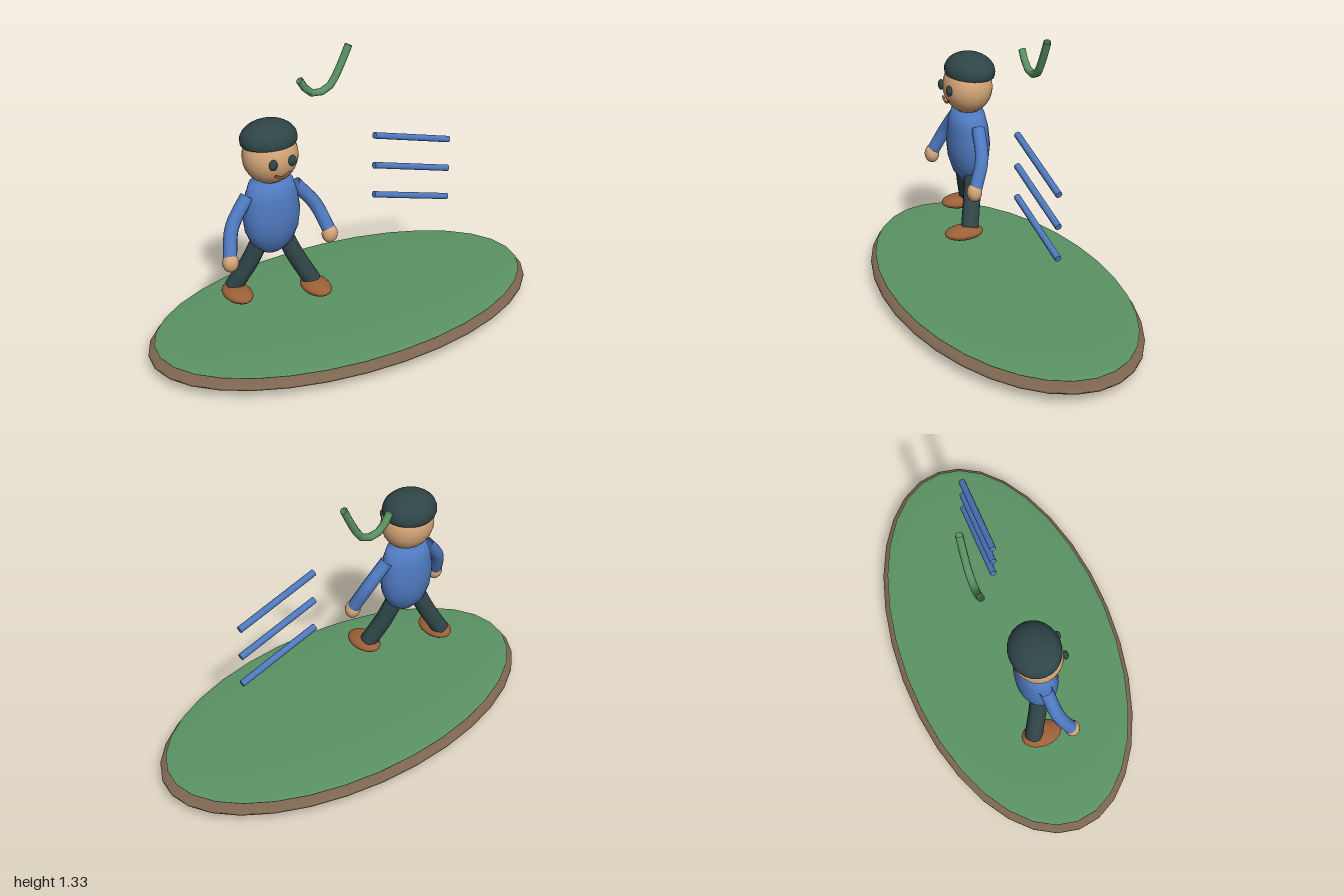
import * as THREE from 'three';

const mat = (color) => new THREE.MeshStandardMaterial({ color, side: THREE.DoubleSide });
const grass = mat(0x5b9464), soil = mat(0x7d6650), skin = mat(0xd6a679);
const blue = mat(0x4f7ac0), dark = mat(0x2f4548), leather = mat(0x9c6038);

const V = (p) => new THREE.Vector3(...p);

function add(parent, name, geometry, material, pos = [0, 0, 0]) {
  const mesh = new THREE.Mesh(geometry, material);
  mesh.name = name;
  mesh.position.set(...pos);
  parent.add(mesh);
  return mesh;
}

function ellipsoid(parent, name, material, pos, radii, segs = 24) {
  const g = new THREE.SphereGeometry(1, segs, Math.round(segs * 0.6)).scale(...radii);
  return add(parent, name, g, material, pos);
}

// Round limb along a smooth path
function tube(parent, name, material, points, radius, segs = 10, sides = 12) {
  const curve = new THREE.CatmullRomCurve3(points.map(V));
  return add(parent, name, new THREE.TubeGeometry(curve, segs, radius, sides), material);
}

// Straight rod between two points
function rod(parent, name, material, a, b, radius) {
  const from = V(a), to = V(b), dir = to.clone().sub(from);
  const mesh = add(parent, name, new THREE.CylinderGeometry(radius, radius, dir.length(), 8), material);
  mesh.position.copy(from).add(to).multiplyScalar(0.5);
  mesh.quaternion.setFromUnitVectors(new THREE.Vector3(0, 1, 0), dir.normalize());
  return mesh;
}

function createFigure() {
  const figure = new THREE.Group();
  figure.name = 'figure';
  figure.position.x = -0.38;

  // Torso: egg profile, flattened front to back
  const profile = [[0, 0.485], [0.045, 0.495], [0.1, 0.54], [0.13, 0.61], [0.14, 0.69], [0.128, 0.78], [0.105, 0.85], [0, 0.86]];
  const torso = new THREE.LatheGeometry(profile.map((p) => new THREE.Vector2(...p)), 24);
  add(figure, 'torso', torso.scale(1, 1, 0.7), blue);

  // Head and cap
  ellipsoid(figure, 'head', skin, [0, 0.975, 0], [0.13, 0.13, 0.117]);
  const cap = new THREE.SphereGeometry(1, 24, 12, 0, Math.PI * 2, 0, Math.PI * 0.58).scale(0.133, 0.085, 0.119);
  add(figure, 'cap', cap, dark, [0, 1.053, -0.012]).rotation.x = -0.08;

  // Face
  for (const s of [-1, 1]) ellipsoid(figure, 'eye', dark, [s * 0.048, 0.982, 0.115], [0.02, 0.026, 0.014], 14);
  tube(figure, 'mouth', leather, [[-0.038, 0.925, 0.111], [0, 0.909, 0.112], [0.038, 0.925, 0.111]], 0.006, 8, 6);

  // Limbs; the left leg steps forward, the right leg back
  for (const s of [-1, 1]) {
    const side = s > 0 ? 'left' : 'right';
    tube(figure, side + 'Arm', blue, [[s * 0.122, 0.8, 0], [s * 0.215, 0.68, 0.025], [s * 0.256, 0.56, 0.075]], 0.032);
    ellipsoid(figure, side + 'Hand', skin, [s * 0.257, 0.541, 0.082], [0.038, 0.046, 0.036], 16);
    tube(figure, side + 'Leg', dark, [[s * 0.055, 0.57, 0], [s * 0.108, 0.44, s * 0.03], [s * 0.17, 0.315, s * 0.07]], 0.042);
    ellipsoid(figure, side + 'Shoe', leather, [s * 0.17, 0.3, s > 0 ? 0.1 : -0.03], [0.065, 0.032, 0.097], 20);
  }
  return figure;
}

export function createModel() {
  const model = new THREE.Group();
  model.name = 'floatingIslandScene';

  // Island: soil lens with a thinner grass lens on top
  ellipsoid(model, 'soil', soil, [0, 0.06, 0], [1, 0.057, 0.545], 32);
  ellipsoid(model, 'grass', grass, [0, 0.104, 0], [0.97, 0.018, 0.522], 32);

  model.add(createFigure());

  // Slanted floating bars
  for (let i = 0; i < 3; i++) {
    const y = 0.93 - i * 0.153;
    rod(model, 'bar', blue, [0.168, y, 0], [0.585, y - 0.125, 0], 0.016);
  }

  // Floating tick mark
  const tick = [[-0.13, 1.213, -0.165], [-0.085, 1.148, -0.165], [-0.037, 1.128, -0.165], [0.027, 1.147, -0.165], [0.08, 1.227, -0.165], [0.13, 1.33, -0.165]];
  tube(model, 'tick', grass, tick, 0.018, 8, 8);

  return model;
}
